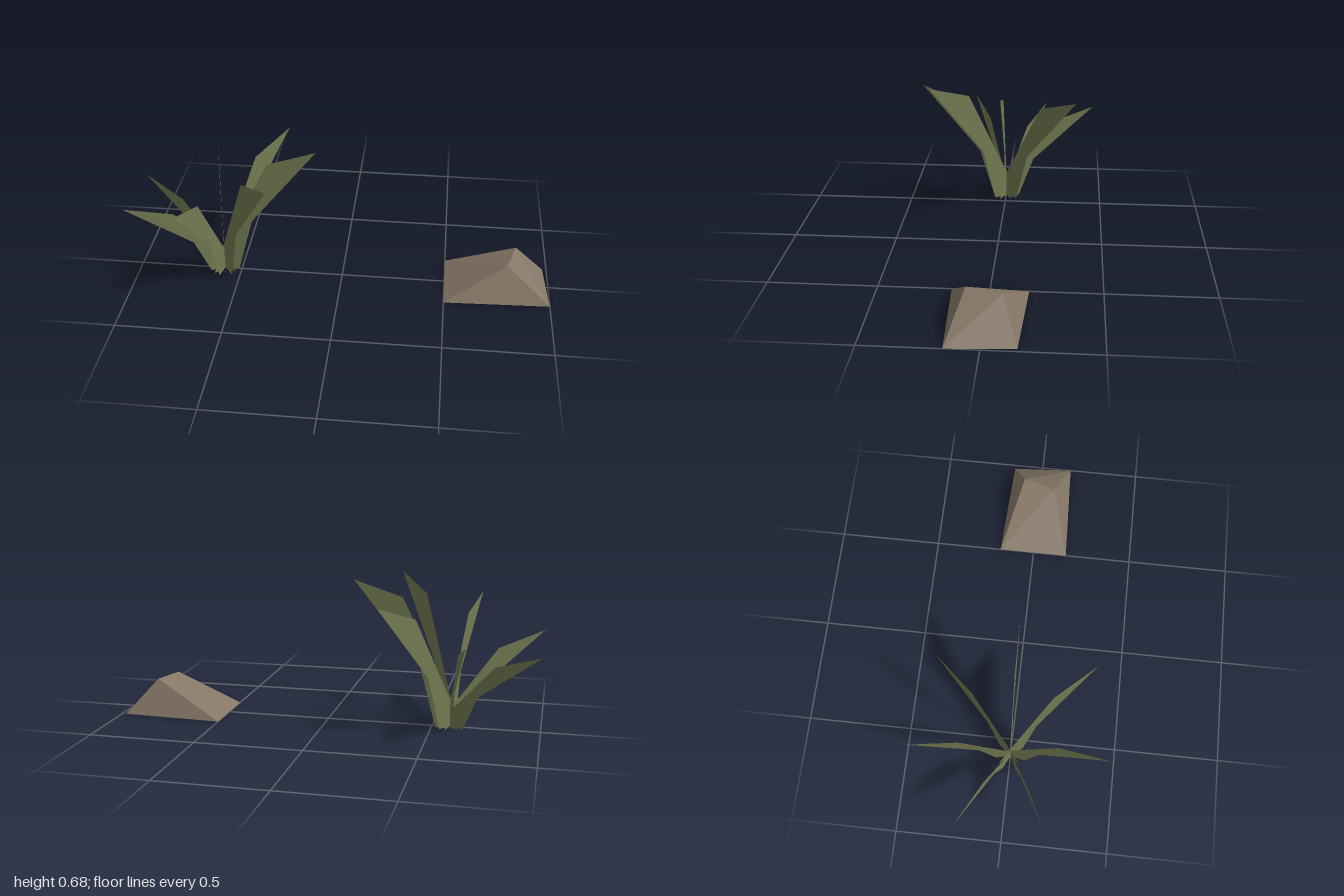
import * as THREE from 'three';

const leafMat = new THREE.MeshStandardMaterial({ color: 0x747b52, side: THREE.DoubleSide });
leafMat.name = 'leaf green';
const rockMat = new THREE.MeshStandardMaterial({ color: 0x857766, side: THREE.DoubleSide });
rockMat.name = 'stone brown';

// One flat upright blade: a stalk across the centre, bending outwards to a slanted tip.
function makeLeaf(height) {
  const shape = new THREE.Shape([
    [-0.07, 0], [0.07, 0], [0.146, 0.418 * height], [0.461, height], [0.231, height - 0.075],
  ].map(([r, y]) => new THREE.Vector2(r, y)));
  return new THREE.Mesh(new THREE.ShapeGeometry(shape), leafMat);
}

// Seven blades fanned evenly around the plant's centre.
function makePlant() {
  const plant = new THREE.Group();
  plant.name = 'plant';
  const heights = [0.679, 0.672, 0.575, 0.44, 0.395, 0.475, 0.612];
  heights.forEach((h, i) => {
    const leaf = makeLeaf(h);
    leaf.name = `leaf${i + 1}`;
    leaf.rotation.y = -i * Math.PI * 2 / heights.length;
    plant.add(leaf);
  });
  plant.position.x = -0.583;
  return plant;
}

// Wedge-shaped stone with a short ridge and an open underside.
function makeRock() {
  const backLeft = [0.5, 0, -0.173], backRight = [0.98, 0, -0.148];
  const frontRight = [1, 0, 0.15], frontLeft = [0.5, 0, 0.17];
  const ridgeBack = [0.835, 0.168, -0.08], ridgeFront = [0.79, 0.168, 0.077];
  const faces = [
    [frontLeft, frontRight, ridgeFront],
    [frontRight, backRight, ridgeBack, ridgeFront],
    [backRight, backLeft, ridgeBack],
    [backLeft, frontLeft, ridgeFront, ridgeBack],
  ];
  const points = [];
  for (const f of faces) {
    for (let i = 1; i < f.length - 1; i++) points.push(...f[0], ...f[i], ...f[i + 1]);
  }
  const geo = new THREE.BufferGeometry();
  geo.setAttribute('position', new THREE.Float32BufferAttribute(points, 3));
  geo.computeVertexNormals();
  const rock = new THREE.Mesh(geo, rockMat);
  rock.name = 'rock';
  return rock;
}

export function createModel() {
  const model = new THREE.Group();
  model.name = 'plantAndRock';
  model.add(makePlant(), makeRock());
  return model;
}
